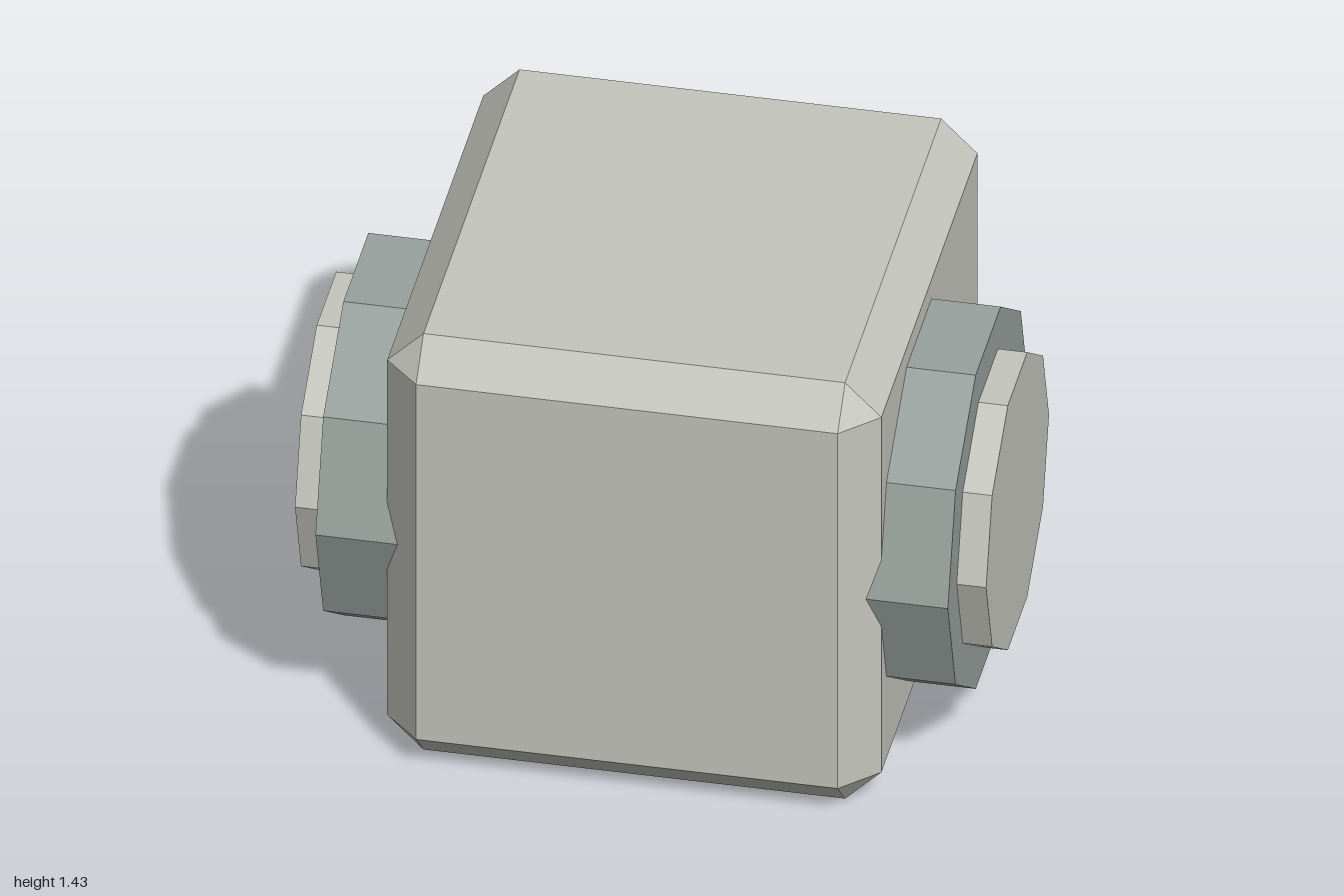
import * as THREE from 'three';
import { ConvexGeometry } from 'three/addons/geometries/ConvexGeometry.js';

const material = (color) => new THREE.MeshStandardMaterial({ color, flatShading: true });

// Box with chamfered edges and corners: three points per corner
function chamferedBox(hx, hy, hz, c) {
  const points = [];
  for (const x of [-1, 1]) for (const y of [-1, 1]) for (const z of [-1, 1]) {
    points.push(
      new THREE.Vector3(x * hx, y * (hy - c), z * (hz - c)),
      new THREE.Vector3(x * (hx - c), y * hy, z * (hz - c)),
      new THREE.Vector3(x * (hx - c), y * (hy - c), z * hz));
  }
  return new ConvexGeometry(points);
}

export function createModel() {
  const group = new THREE.Group();
  const pale = material(0xc4c6bd);
  const grey = material(0x98a19d);
  const dark = material(0x474f4c);
  const darker = material(0x3e4442);

  function add(name, geometry, mat, x, y, z) {
    const mesh = new THREE.Mesh(geometry, mat);
    mesh.name = name;
    mesh.position.set(x, y, z);
    group.add(mesh);
  }

  // Main block
  add('body', chamferedBox(0.715, 0.715, 0.78, 0.105), pale, 0, 0.715, 0.105);

  // Ten-sided side discs, each with a smaller cap
  const sideDisc = (radius, depth) =>
    new THREE.CylinderGeometry(radius, radius, depth, 10).rotateZ(Math.PI / 2);
  for (const [side, s] of [['left', 1], ['right', -1]]) {
    add(side + 'Disc', sideDisc(0.567, 0.315), grey, s * 0.7575, 0.72, 0.25);
    add(side + 'DiscCap', sideDisc(0.442, 0.2), pale, s * 0.9, 0.72, 0.25);
  }

  // Back plate with a round knob near its foot
  add('backPlate', new THREE.BoxGeometry(0.63, 1.1, 0.125), dark, 0, 0.72, -0.7125);
  const knob = new THREE.CylinderGeometry(0.25, 0.25, 0.17, 10)
    .rotateY(Math.PI / 2).rotateX(Math.PI / 2);
  add('backKnob', knob, darker, 0, 0.385, -0.8);

  return group;
}
